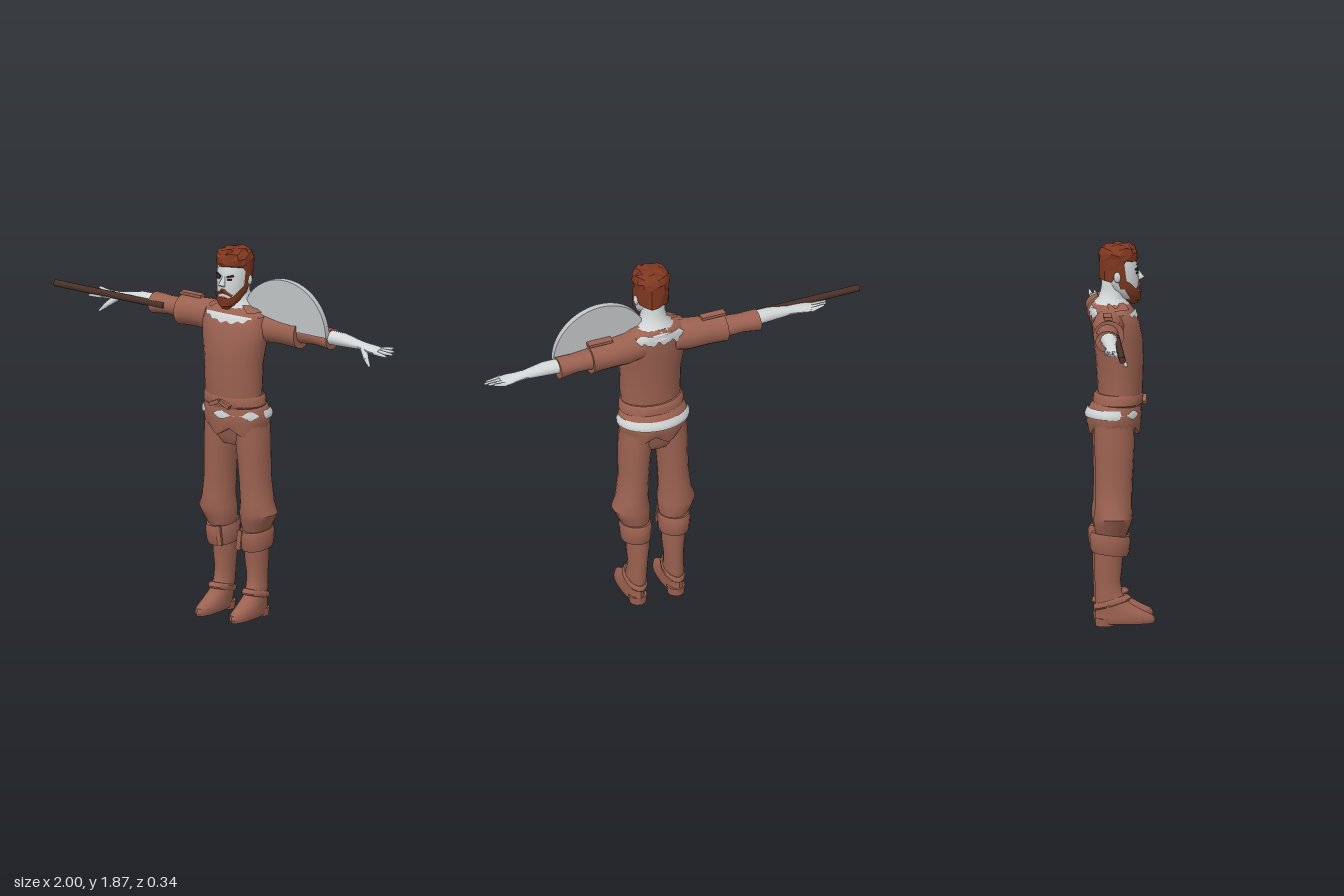
import * as THREE from 'three';
import { toCreasedNormals } from 'three/addons/utils/BufferGeometryUtils.js';

const mat = (name, color) => Object.assign(new THREE.MeshStandardMaterial({ color }), { name });

// Indexed grid of points; rows run along the axis, columns run round it.
function grid(rows, cols, closed, point, capped, crease = 0.7) {
  const pos = [], idx = [];
  const n = closed ? cols : cols + 1;
  for (let r = 0; r < rows; r++) for (let c = 0; c < n; c++) pos.push(...point(r, c / cols));
  for (let r = 0; r < rows - 1; r++) for (let c = 0; c < cols; c++) {
    const a = r * n + c, b = r * n + (c + 1) % n;
    idx.push(a, b, b + n, a, b + n, a + n);
  }
  if (capped) for (const r of [0, rows - 1]) {
    const mid = [0, 0, 0];
    for (let c = 0; c < n; c++) for (let k = 0; k < 3; k++) mid[k] += pos[(r * n + c) * 3 + k] / n;
    const m = pos.push(...mid) / 3 - 1;
    for (let c = 0; c < n; c++) {
      const a = r * n + c, b = r * n + (c + 1) % n;
      idx.push(...(r ? [a, b, m] : [b, a, m]));
    }
  }
  const g = new THREE.BufferGeometry();
  g.setAttribute('position', new THREE.Float32BufferAttribute(pos, 3));
  g.setIndex(idx);
  return toCreasedNormals(g, crease);
}

// Sections: upright [y, x, z, rx, rz]; sideways [x, y, z, ry, rz].
const loftY = (s, sides = 18, move = (p) => p, crease) => grid(s.length, sides, true, (r, u) => {
  const [y, x, z, rx, rz] = s[r], a = u * Math.PI * 2;
  return move([x + rx * Math.sin(a), y, z + rz * Math.cos(a)], a, r);
}, true, crease);
const loftX = (s, sides = 14) => grid(s.length, sides, true, (r, u) => {
  const [x, y, z, ry, rz] = s[r], a = u * Math.PI * 2;
  return [x, y + ry * Math.cos(a), z + rz * Math.sin(a)];
}, true);

// Thin patch lying just outside an upright loft; angle 0 is the front.
function patch(s, a0, a1, lo, hi, off, cols = 32) {
  return grid(5, cols, false, (r, u) => {
    const a = a0 + (a1 - a0) * u, y = lo(a) + (hi(a) - lo(a)) * r / 4;
    let i = 0;
    while (i < s.length - 2 && s[i + 1][0] < y) i++;
    const t = (y - s[i][0]) / (s[i + 1][0] - s[i][0]);
    const [, x, z, rx, rz] = s[i].map((v, k) => v + (s[i + 1][k] - v) * t);
    return [x + (rx + off) * Math.sin(a), y, z + (rz + off) * Math.cos(a)];
  }, false);
}

// Tapered rod between two points.
function rod(p, q, r0, r1, sides = 7) {
  const a = new THREE.Vector3(...p), b = new THREE.Vector3(...q), d = b.clone().sub(a);
  const g = new THREE.CylinderGeometry(r1, r0, d.length(), sides);
  g.applyQuaternion(new THREE.Quaternion().setFromUnitVectors(new THREE.Vector3(0, 1, 0), d.normalize()));
  return g.translate(...a.add(b).multiplyScalar(0.5).toArray());
}
const box = (w, h, d, x, y, z, rz = 0, ry = 0) =>
  new THREE.BoxGeometry(w, h, d).rotateZ(rz).rotateY(ry).translate(x, y, z);

function mirrored(geo) {
  const g = geo.index ? geo.toNonIndexed() : geo.clone();
  g.applyMatrix4(new THREE.Matrix4().makeScale(-1, 1, 1));
  for (const att of Object.values(g.attributes)) for (let i = 0; i < att.count; i += 3)
    for (let k = 0; k < att.itemSize; k++) {
      const v = att.getComponent(i + 1, k);
      att.setComponent(i + 1, k, att.getComponent(i + 2, k));
      att.setComponent(i + 2, k, v);
    }
  return g;
}

export function createModel() {
  const cloth = mat('brown cloth', 0x9c6251), skin = mat('pale skin', 0xd2d6d7), hair = mat('red hair', 0x803820);
  const wood = mat('dark wood', 0x4a3128), metal = mat('grey metal', 0xc0c3c4), dark = mat('dark features', 0x33241f);
  const model = new THREE.Group();
  const body = new THREE.Group();
  body.name = 'figure';
  body.position.x = 0.09;
  model.add(body);
  const add = (name, geo, m) => {
    const mesh = new THREE.Mesh(geo, m);
    mesh.name = name;
    body.add(mesh);
  };
  const pair = (name, geo, m) => { add(name + 'Left', geo, m); add(name + 'Right', mirrored(geo), m); };

  // Shirt, with bare skin showing in a ragged neckline
  const torso = [[1.05, 0, 0, 0.15, 0.105], [1.15, 0, 0.005, 0.153, 0.11], [1.3, 0, 0.003, 0.157, 0.117],
    [1.4, 0, -0.005, 0.172, 0.122], [1.48, 0, -0.017, 0.185, 0.118], [1.54, 0, -0.03, 0.175, 0.108],
    [1.572, 0, -0.042, 0.12, 0.094], [1.585, 0, -0.045, 0.075, 0.08]];
  add('shirt', loftY(torso, 24), cloth);
  const ragged = (base, amp) => (a) => base + amp * Math.sin(a * 17) + amp * 0.6 * Math.sin(a * 29 + 1);
  add('chestSkin', patch(torso, -0.85, 0.85, (a) => 1.512 + 0.03 * a * a + 0.006 * Math.sin(a * 19),
    (a) => 1.55 - 0.012 * a * a, 0.005), skin);
  add('backSkin', patch(torso, Math.PI - 0.8, Math.PI + 0.8, ragged(1.515, 0.01), () => 1.565, 0.008), skin);
  pair('collar', patch(torso, 0.75, 1.75, () => 1.56, (a) => 1.583 + 0.012 * Math.sin(a * 8), 0.014, 10), cloth);

  // Neck and head
  add('neck', loftY([[1.54, 0, -0.045, 0.125, 0.105], [1.575, 0, -0.042, 0.1, 0.092], [1.605, 0, -0.036, 0.07, 0.066],
    [1.65, 0, -0.028, 0.06, 0.06], [1.73, 0, -0.02, 0.06, 0.06]]), skin);
  const skull = [[1.588, 0, 0.06, 0.025, 0.03], [1.612, 0, 0.045, 0.052, 0.05], [1.65, 0, 0.02, 0.071, 0.077],
    [1.7, 0, 0.006, 0.079, 0.09], [1.75, 0, 0, 0.081, 0.09], [1.8, 0, -0.005, 0.08, 0.087], [1.84, 0, -0.01, 0.06, 0.07]];
  add('head', loftY(skull, 20), skin);
  add('nose', rod([0, 1.745, 0.082], [0, 1.697, 0.108], 0.007, 0.017, 6), skin);
  pair('ear', new THREE.SphereGeometry(1, 8, 6).scale(0.012, 0.027, 0.018).translate(0.082, 1.715, -0.012), skin);
  pair('eyebrow', box(0.036, 0.009, 0.008, 0.034, 1.745, 0.084, 0.25, 0.35), dark);
  pair('eye', box(0.024, 0.008, 0.006, 0.033, 1.729, 0.086, 0, 0.35), dark);

  // Hair falls lower at the back than over the brow
  const hairSections = [[1.79, 0, -0.005, 0.084, 0.094], [1.8, 0, -0.005, 0.09, 0.097], [1.825, 0, -0.005, 0.093, 0.095],
    [1.85, 0, -0.004, 0.082, 0.084], [1.865, 0.008, -0.006, 0.05, 0.055]];
  add('hair', loftY(hairSections, 16, ([x, y, z], a, r) => {
    const k = 1 + 0.035 * Math.sin(a * 5 + r * 1.9);
    const drop = r === 0 ? 0.095 * THREE.MathUtils.smoothstep(-Math.cos(a), -0.3, 0.25) : 0;
    return [x * k, y - drop + 0.006 * Math.sin(a * 4 + r * 2), z * k];
  }, 0.2), hair);
  add('beard', patch(skull, -1.5, 1.5, () => 1.594,
    (a) => 1.638 + 0.06 * THREE.MathUtils.smoothstep(Math.abs(a), 0.5, 1.4), 0.009), hair);
  add('chinBeard', loftY([[1.575, 0, 0.07, 0.018, 0.018], [1.595, 0, 0.062, 0.042, 0.042],
    [1.625, 0, 0.05, 0.05, 0.056], [1.642, 0, 0.05, 0.035, 0.048]], 12, undefined, 0.2), hair);
  pair('sideburn', patch(skull, 1.3, 1.75, () => 1.655, () => 1.8, 0.006, 5), hair);
  pair('moustache', rod([0, 1.672, 0.099], [0.042, 1.645, 0.078], 0.011, 0.008, 6), hair);

  // Sleeves, arms and hands
  pair('upperSleeve', loftX([[0.08, 1.49, -0.045, 0.078, 0.085], [0.16, 1.483, -0.06, 0.08, 0.079],
    [0.25, 1.48, -0.066, 0.074, 0.07], [0.33, 1.475, -0.066, 0.072, 0.07], [0.357, 1.475, -0.066, 0.075, 0.076],
    [0.357, 1.475, -0.066, 0.055, 0.055]]), cloth);
  pair('lowerSleeve', loftX([[0.32, 1.48, -0.072, 0.055, 0.055], [0.44, 1.48, -0.076, 0.046, 0.053],
    [0.49, 1.478, -0.078, 0.05, 0.056], [0.53, 1.476, -0.08, 0.053, 0.06], [0.53, 1.478, -0.078, 0.036, 0.042]]), cloth);
  pair('shoulderTab', box(0.125, 0.014, 0.04, 0.3, 1.56, -0.07), cloth);
  pair('forearm', loftX([[0.5, 1.485, -0.075, 0.036, 0.042], [0.6, 1.486, -0.072, 0.033, 0.04],
    [0.7, 1.478, -0.07, 0.021, 0.029], [0.74, 1.474, -0.067, 0.02, 0.033], [0.79, 1.47, -0.066, 0.019, 0.043],
    [0.825, 1.468, -0.066, 0.013, 0.04]], 12), skin);
  for (let i = 0; i < 4; i++) {
    const z = -0.099 + i * 0.022, tip = [0.875, 0.895, 0.905, 0.885][i];
    pair('finger' + (i + 1), rod([0.81, 1.468, z], [tip, 1.484 - i * 0.008, z * 1.15 + 0.01], 0.012, 0.006), skin);
  }
  pair('thumbBase', rod([0.735, 1.468, -0.05], [0.775, 1.432, -0.015], 0.018, 0.013), skin);
  pair('thumbTip', rod([0.77, 1.437, -0.02], [0.805, 1.402, 0], 0.014, 0.006), skin);

  // Belt, knot and flared hem with pale trim
  add('belt', loftY([[1.08, 0, -0.006, 0.157, 0.112], [1.09, 0, -0.006, 0.166, 0.121], [1.128, 0, -0.004, 0.163, 0.121],
    [1.14, 0, -0.002, 0.155, 0.112]], 24), cloth);
  pair('beltKnot', box(0.06, 0.02, 0.02, 0.03, 1.105, 0.122, -0.45), cloth);
  const hem = [[0.955, 0, -0.024, 0.165, 0.125], [0.99, 0, -0.026, 0.173, 0.133], [1.04, 0, -0.026, 0.181, 0.136],
    [1.075, 0, -0.018, 0.168, 0.124], [1.1, 0, -0.01, 0.15, 0.11]];
  add('hem', loftY(hem, 28, ([x, y, z], a, r) => r ? [x, y, z] : [x, y + 0.022 * Math.sin(a * 7), z]), cloth);
  const trim = (a) => 0.006 + 0.016 * (Math.cos(a) > 0.15 ? Math.max(-0.35, Math.cos(a * 7)) : 1);
  add('hemTrim', patch(hem, 0, Math.PI * 2, (a) => 1.047 - Math.max(0, trim(a)), (a) => 1.047 + Math.max(0, trim(a)), 0.006, 96), skin);

  // Trousers gathered below the knee
  add('hips', loftY([[0.88, 0, -0.03, 0.1, 0.075], [0.92, 0, -0.028, 0.165, 0.095], [1.06, 0, -0.02, 0.155, 0.105]]), cloth);
  pair('trouserLeg', loftY([[0.43, 0.1, -0.045, 0.06, 0.07], [0.46, 0.103, -0.042, 0.072, 0.078],
    [0.5, 0.112, -0.038, 0.085, 0.09], [0.535, 0.12, -0.034, 0.094, 0.096], [0.59, 0.114, -0.032, 0.08, 0.09],
    [0.7, 0.105, -0.03, 0.075, 0.09], [0.8, 0.1, -0.028, 0.077, 0.094], [0.9, 0.094, -0.027, 0.082, 0.098],
    [1.0, 0.085, -0.027, 0.085, 0.1]]), cloth);
  pair('kneeCuff', loftY([[0.365, 0.1, -0.05, 0.055, 0.065], [0.355, 0.1, -0.05, 0.07, 0.088], [0.375, 0.1, -0.05, 0.075, 0.095],
    [0.43, 0.102, -0.048, 0.078, 0.1], [0.455, 0.102, -0.046, 0.073, 0.093], [0.45, 0.102, -0.046, 0.055, 0.07]], 18,
  ([x, y, z]) => [x, y - z * 0.12 - 0.006, z]), cloth);
  pair('cuffTie', box(0.026, 0.1, 0.012, 0.06, 0.4, 0.043, -0.12), cloth);

  // Boots with soles and heels
  pair('boot', loftY([[0.012, 0.103, 0.025, 0.045, 0.14], [0.028, 0.103, 0.025, 0.052, 0.147], [0.05, 0.102, 0.022, 0.05, 0.142],
    [0.075, 0.101, -0.004, 0.05, 0.115], [0.11, 0.1, -0.035, 0.048, 0.085], [0.16, 0.097, -0.055, 0.047, 0.066],
    [0.22, 0.095, -0.06, 0.047, 0.063], [0.3, 0.094, -0.057, 0.055, 0.069], [0.39, 0.095, -0.053, 0.058, 0.07]]), cloth);
  pair('heel', loftY([[0, 0.101, -0.075, 0.042, 0.045], [0.04, 0.101, -0.072, 0.046, 0.05]], 12), cloth);
  pair('ankleStrap', loftY([[0.1, 0.1, -0.034, 0.05, 0.088], [0.108, 0.1, -0.037, 0.055, 0.092],
    [0.125, 0.099, -0.043, 0.054, 0.085], [0.132, 0.099, -0.045, 0.048, 0.078]], 16,
  ([x, y, z]) => [x, y + z * 0.3 + 0.015, z]), cloth);

  // Staff beside the right arm and half disc above the left arm
  add('staff', rod([-1.09, 1.484, -0.034], [-0.44, 1.484, -0.034], 0.017, 0.017, 12), wood);
  const half = new THREE.Shape().absarc(0, 0, 0.25, 0, Math.PI);
  add('halfDisc', new THREE.ExtrudeGeometry(half, { depth: 0.03, bevelEnabled: false, curveSegments: 32 })
    .translate(0.283, 1.495, -0.045), metal);
  return model;
}
